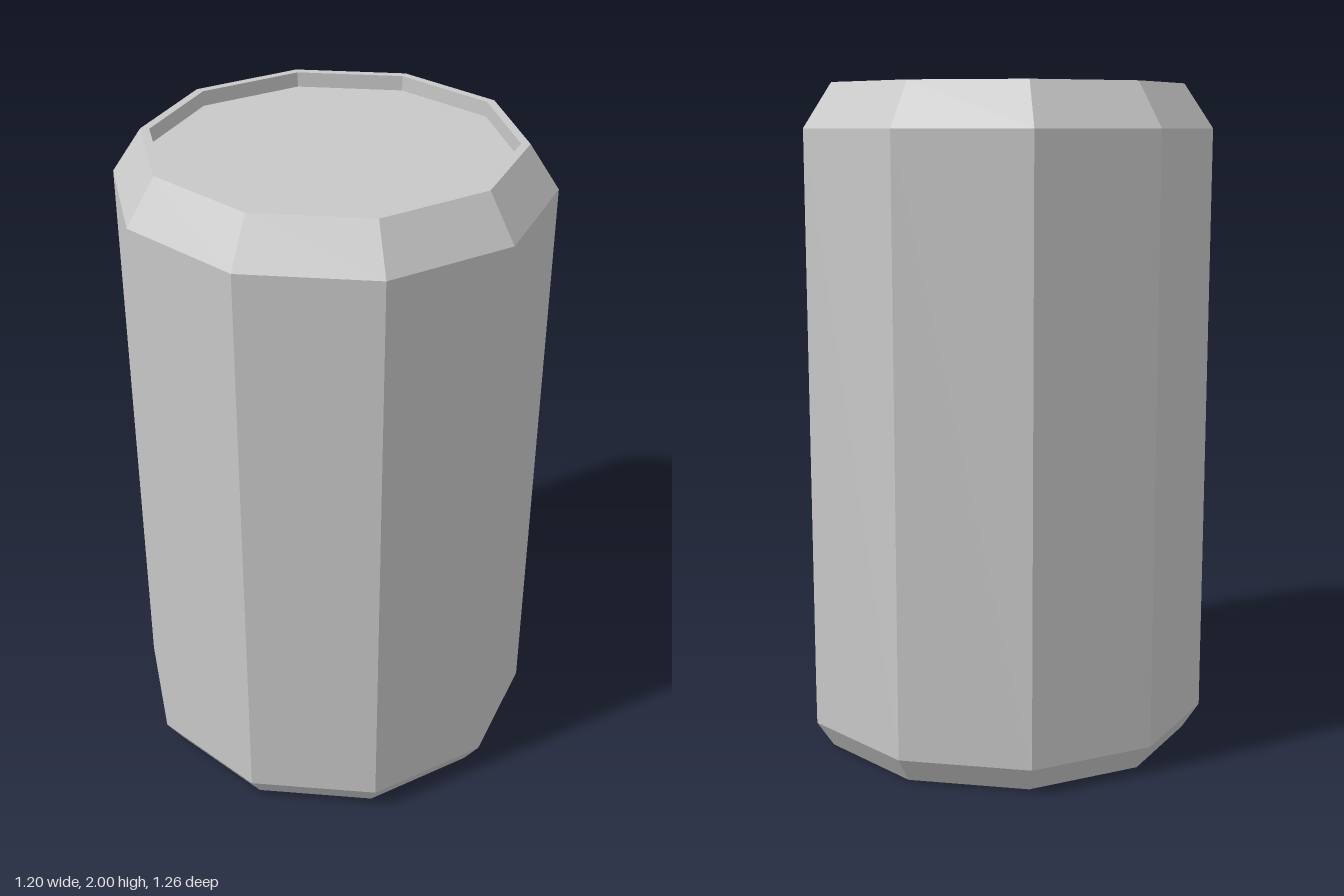
import * as THREE from 'three';

const SIDES = 10;

export function createModel() {
  const group = new THREE.Group();
  group.name = 'can';
  const metal = new THREE.MeshStandardMaterial({ color: 0xc8c8c8 });
  metal.name = 'grey metal';

  const add = (name, geometry) => {
    const mesh = new THREE.Mesh(geometry, metal);
    mesh.name = name;
    group.add(mesh);
  };

  // Faceted ring swept around y from [radius, height] points
  const ring = (name, points) => {
    const profile = points.map(([r, y]) => new THREE.Vector2(r, y));
    const geometry = new THREE.LatheGeometry(profile, SIDES).toNonIndexed();
    geometry.computeVertexNormals();
    add(name, geometry);
  };

  // Ten-sided disc facing up (dir = 1) or down (dir = -1)
  const disc = (name, radius, y, dir) => {
    const geometry = new THREE.CircleGeometry(radius, SIDES, Math.PI / 2);
    geometry.rotateX(-dir * Math.PI / 2).translate(0, y, 0);
    add(name, geometry);
  };

  ring('bottomBevel', [[0.578, 0], [0.63, 0.08]]);
  ring('body', [[0.63, 0.08], [0.63, 1.87]]);
  ring('shoulder', [[0.63, 1.87], [0.543, 2]]);

  // Narrow rim with a short wall dropping to the recessed lid
  ring('rim', [[0.543, 2], [0.517, 2], [0.517, 1.955]]);
  disc('lid', 0.517, 1.955, 1);
  disc('base', 0.578, 0, -1);

  return group;
}
